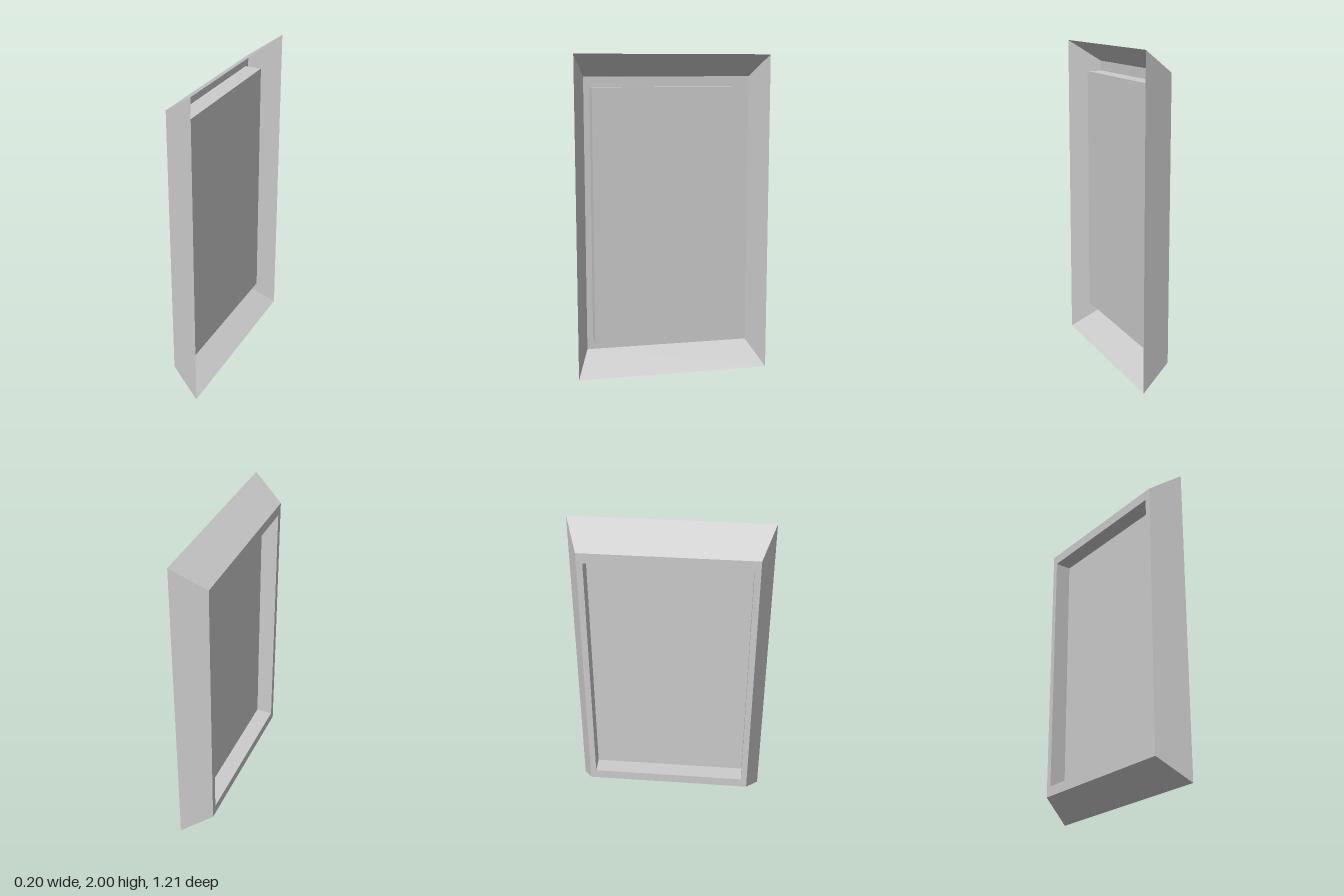
import * as THREE from 'three';

const material = new THREE.MeshStandardMaterial({ color: 0xcccccc, flatShading: true, side: THREE.DoubleSide });

// Rectangular cross-sections: x position, half height, half depth
const rim = { x: 0.098, h: 1, d: 0.607 };
const back = { x: -0.098, h: 0.866, d: 0.528 };
const opening = { x: -0.098, h: 0.802, d: 0.49 };
const pane = { x: 0.008, h: 0.802, d: 0.49 };

const corners = ({ x, h, d }) => [[-1, -1], [-1, 1], [1, 1], [1, -1]].map(([sy, sz]) => [x, 1 + sy * h, sz * d]);

function meshFromQuads(name, quads) {
  const positions = quads.flatMap(([a, b, c, d]) => [a, b, c, a, c, d]).flat();
  const geometry = new THREE.BufferGeometry();
  geometry.setAttribute('position', new THREE.Float32BufferAttribute(positions, 3));
  geometry.computeVertexNormals();
  const mesh = new THREE.Mesh(geometry, material);
  mesh.name = name;
  return mesh;
}

// Four-sided band joining two rectangles
function band(name, from, to) {
  const a = corners(from), b = corners(to);
  return meshFromQuads(name, a.map((p, i) => {
    const j = (i + 1) % 4;
    return [p, b[i], b[j], a[j]];
  }));
}

export function createModel() {
  const group = new THREE.Group();
  group.name = 'recessedPanelFrame';
  group.add(
    band('slopedSurround', rim, back), // splayed outer walls, open at the rim
    band('backBorder', back, opening), // flat border around the recess
    band('recessWalls', opening, pane), // straight walls of the recess
    meshFromQuads('pane', [corners(pane).reverse()]), // closing panel, facing +x
  );
  return group;
}
